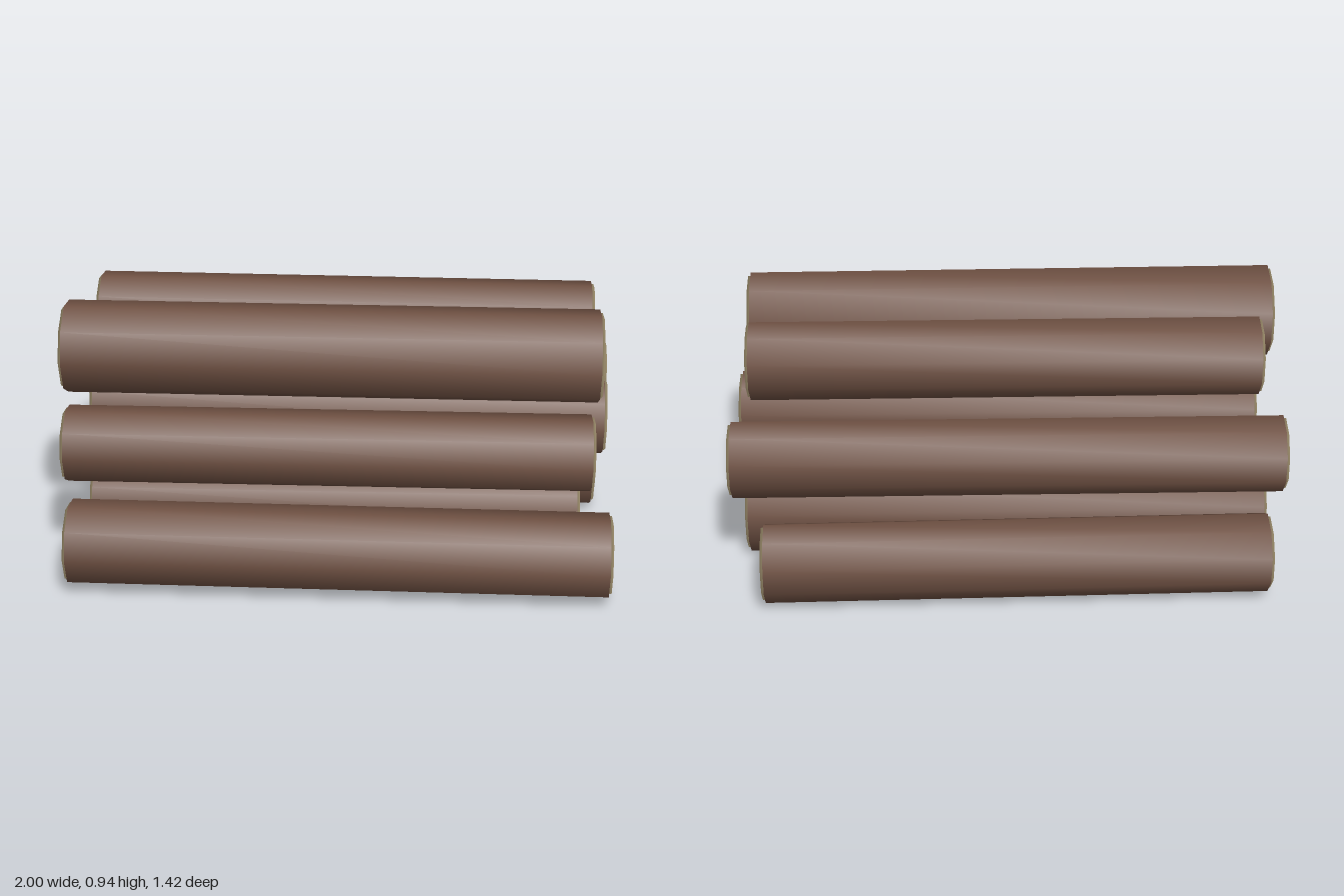
import * as THREE from 'three';
import { mergeVertices } from 'three/addons/utils/BufferGeometryUtils.js';

const SIDES = 9;
const CAP_OUT = 0.01; // how far the cut wood stands out of the bark

// Nine-sided cylinder along x, with normals shared softly over the rim
function softCylinder(radius, length) {
  const geo = new THREE.CylinderGeometry(radius, radius, length, SIDES);
  geo.rotateZ(-Math.PI / 2);
  geo.deleteAttribute('uv');
  geo.deleteAttribute('normal');
  const merged = mergeVertices(geo, 1e-4);
  merged.computeVertexNormals();
  return merged;
}

// radius, height, left x, right x, z at left end, z at right end
const LOGS = [
  // bottom row
  [0.155, 0.163, -0.96, 0.985, 0.539, 0.555],
  [0.139, 0.163, -0.92, 0.885, 0.175, 0.159],
  [0.162, 0.163, -0.955, 0.96, -0.196, -0.190],
  [0.144, 0.164, -0.935, 0.885, -0.557, -0.573],
  // middle row
  [0.141, 0.466, -0.985, 0.92, 0.355, 0.347],
  [0.149, 0.466, -0.93, 0.98, -0.006, 0.016],
  [0.141, 0.466, -1.0, 1.0, -0.371, -0.352],
  // top row
  [0.171, 0.771, -1.0, 0.945, 0.175, 0.176],
  [0.143, 0.771, -0.92, 0.93, -0.191, -0.175],
];

export function createModel() {
  const bark = new THREE.MeshStandardMaterial({ color: 0x6e5042 });
  bark.name = 'bark brown';
  const wood = new THREE.MeshStandardMaterial({ color: 0xbba982 });
  wood.name = 'cut wood tan';

  const pile = new THREE.Group();
  pile.name = 'logPile';

  LOGS.forEach(([radius, y, x0, x1, z0, z1], i) => {
    const length = x1 - x0;
    const log = new THREE.Group();
    log.name = `log${i + 1}`;

    const trunk = new THREE.Mesh(softCylinder(radius, length - 2 * CAP_OUT), bark);
    trunk.name = 'bark';
    log.add(trunk);

    // Cut faces, a little narrower than the bark
    for (const side of [-1, 1]) {
      const cap = new THREE.Mesh(softCylinder(radius * 0.92, CAP_OUT * 2), wood);
      cap.name = side < 0 ? 'rightCutEnd' : 'leftCutEnd';
      cap.position.x = side * (length / 2 - CAP_OUT);
      log.add(cap);
    }

    // Each log lies slightly askew
    log.position.set((x0 + x1) / 2, y, (z0 + z1) / 2);
    log.rotation.y = -Math.atan2(z1 - z0, length);
    pile.add(log);
  });
  return pile;
}
